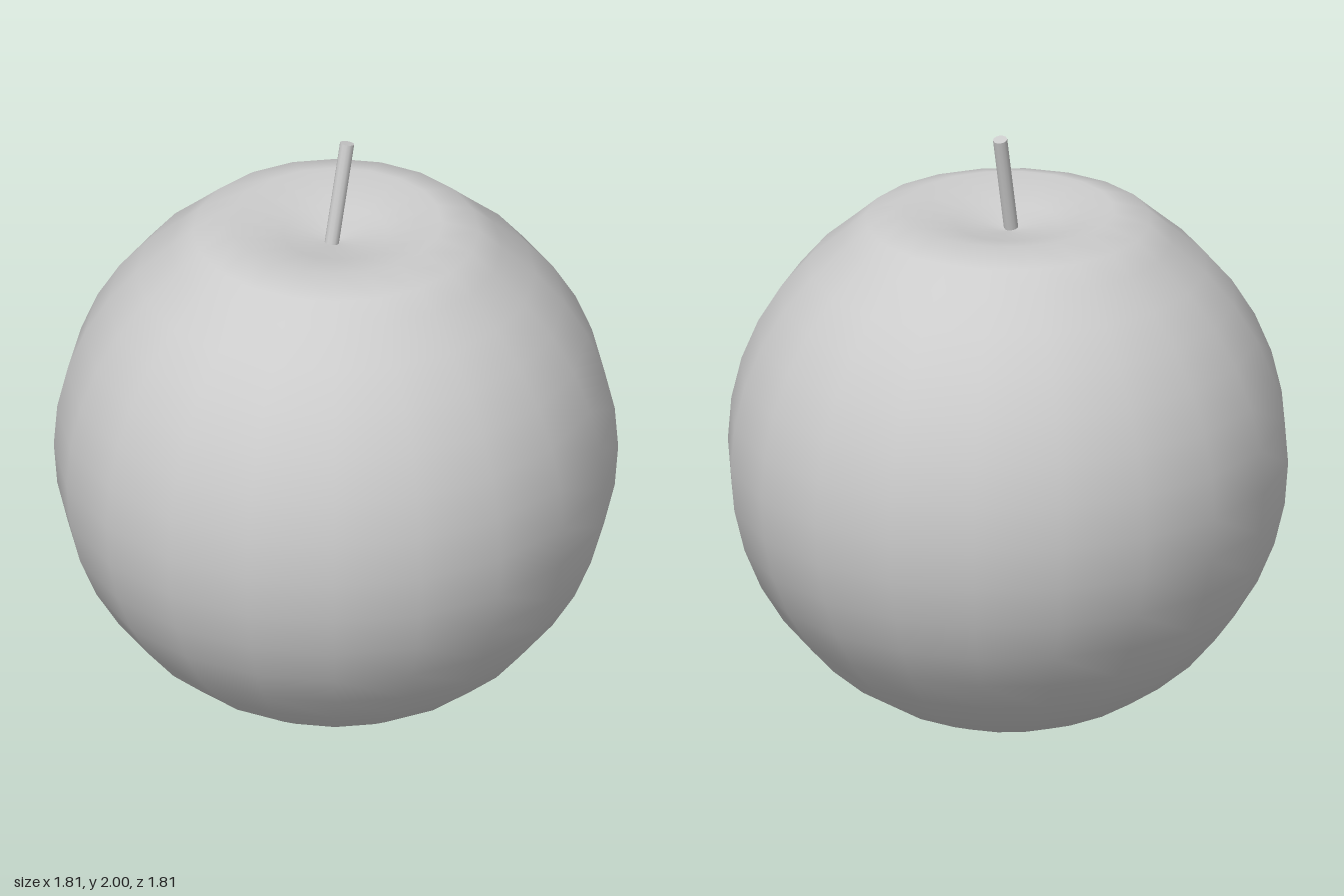
import * as THREE from 'three';

const material = new THREE.MeshStandardMaterial({ color: 0xcccccc, side: THREE.DoubleSide });

// Round fruit: a sphere profile from the bottom pole, ending in a shallow hollow
function createFruit() {
  const radius = 0.905, rings = 20;
  const profile = [];
  for (let i = 0; i <= 16; i++) {
    const a = (i / rings) * Math.PI;
    profile.push(new THREE.Vector2(radius * Math.sin(a), radius * (1 - Math.cos(a))));
  }
  const hollow = [[0.46, 1.7], [0.34, 1.735], [0.17, 1.69], [0, 1.66]];
  hollow.forEach(([r, y]) => profile.push(new THREE.Vector2(r, y)));
  const fruit = new THREE.Mesh(new THREE.LatheGeometry(profile, 20), material);
  fruit.name = 'fruit';
  return fruit;
}

// Thin straight stem leaning towards +x
function createStem() {
  const base = new THREE.Vector3(-0.023, 1.665, 0);
  const tip = new THREE.Vector3(0.06, 1.994, 0);
  const axis = tip.clone().sub(base);
  const stem = new THREE.Mesh(new THREE.CylinderGeometry(0.023, 0.023, axis.length(), 12), material);
  stem.position.copy(base).add(tip).multiplyScalar(0.5);
  stem.quaternion.setFromUnitVectors(new THREE.Vector3(0, 1, 0), axis.normalize());
  stem.name = 'stem';
  return stem;
}

export function createModel() {
  const model = new THREE.Group();
  model.name = 'apple';
  model.add(createFruit(), createStem());
  return model;
}
